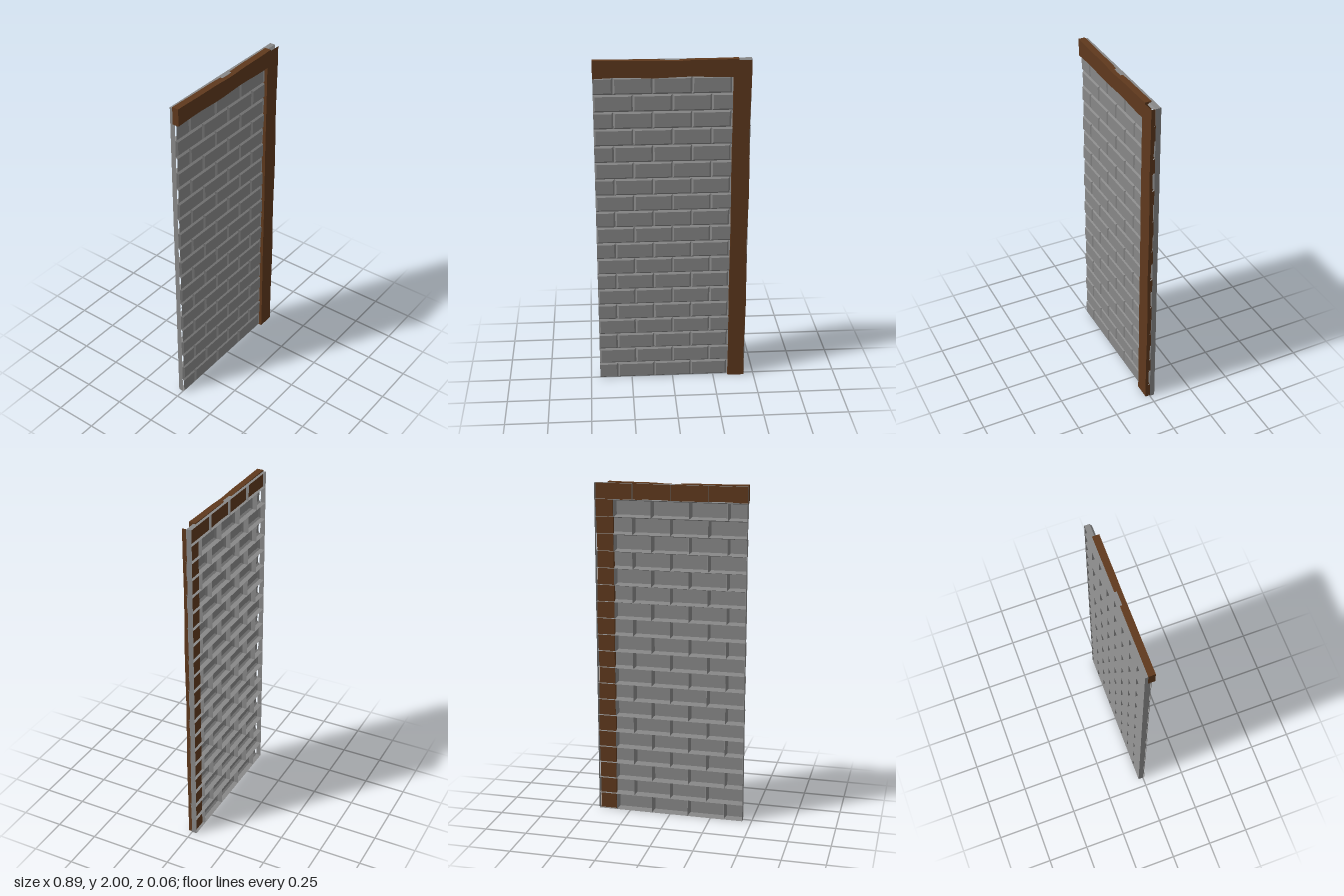
import * as THREE from 'three';

const W = 0.445, TOP = 1.993;            // half width and top of the masonry
const BACK = -0.03, FRONT = 0.01;        // rear edge and brick face
const BEVEL = 0.01, ROWS = 20, ROW_H = 0.1, BRICK = W / 2;
const POST_X = 0.34, BEAM_Y = 1.9;       // inner edges of the timber

// Mesh from a list of four-cornered faces (counter-clockwise from outside)
function quadMesh(name, quads, material) {
  const pos = [];
  for (const [a, b, c, d] of quads) pos.push(...a, ...b, ...c, ...a, ...c, ...d);
  const g = new THREE.BufferGeometry();
  g.setAttribute('position', new THREE.Float32BufferAttribute(pos, 3));
  g.computeVertexNormals();
  const m = new THREE.Mesh(g, material);
  m.name = name;
  return m;
}

// Box between two corners, with vertices moved by a rule and listed sides left out
function timber(name, min, max, segs, warp, material, omit = []) {
  const s = max.map((v, i) => v - min[i]);
  let g = new THREE.BoxGeometry(...s, ...segs);
  g.translate(...max.map((v, i) => (v + min[i]) / 2));
  const p = g.attributes.position, v = new THREE.Vector3();
  for (let i = 0; i < p.count; i++) {
    v.fromBufferAttribute(p, i);
    warp(v);
    p.setXYZ(i, v.x, v.y, v.z);
  }
  const index = Array.from(g.index.array);
  g.setIndex(g.groups.filter((_, i) => !omit.includes(i))
    .flatMap(({ start, count }) => index.slice(start, start + count)));
  g.clearGroups();
  g = g.toNonIndexed();
  g.computeVertexNormals();
  const m = new THREE.Mesh(g, material);
  m.name = name;
  return m;
}

export function createModel() {
  const stone = new THREE.MeshStandardMaterial({ color: 0x888888, side: THREE.DoubleSide });
  stone.name = 'grey stone';
  const wood = new THREE.MeshStandardMaterial({ color: 0x5f391d });
  wood.name = 'brown wood';

  const faces = [], bevels = [], ribs = [];
  // Upright rib between two rows
  const upright = (x, y0, y1) => ribs.push([[x, y0, 0], [x, y0, BACK], [x, y1, BACK], [x, y1, 0]]);
  // Level rib across the whole width
  const level = (y) => ribs.push([[-W, y, 0], [W, y, 0], [W, y, BACK], [-W, y, BACK]]);

  for (let r = 0; r < ROWS; r++) {
    const y0 = r * ROW_H, y1 = r === ROWS - 1 ? TOP : y0 + ROW_H;
    // Alternate rows are shifted by half a brick, their end bricks cut off square
    const whole = r % 2 === 1;
    const cuts = whole ? [-W, -BRICK, 0, BRICK, W]
      : [-W, -1.5 * BRICK, -BRICK / 2, BRICK / 2, 1.5 * BRICK, W];
    const last = cuts.length - 2;

    level(y0);
    upright(-W, y0, y1);

    for (let i = 0; i <= last; i++) {
      const x0 = cuts[i], x1 = cuts[i + 1];
      const slopeL = whole || i > 0, slopeR = whole || i < last;
      const a0 = slopeL ? x0 + BEVEL : x0, a1 = slopeR ? x1 - BEVEL : x1;
      const b0 = y0 + BEVEL, b1 = y1 - BEVEL;

      upright(x1, y0, y1);

      // Sloped brick edges
      bevels.push([[x0, y0, 0], [x1, y0, 0], [a1, b0, FRONT], [a0, b0, FRONT]]);
      bevels.push([[a0, b1, FRONT], [a1, b1, FRONT], [x1, y1, 0], [x0, y1, 0]]);
      if (slopeR) bevels.push([[a1, b0, FRONT], [x1, y0, 0], [x1, y1, 0], [a1, b1, FRONT]]);
      if (slopeL) bevels.push([[x0, y0, 0], [a0, b0, FRONT], [a0, b1, FRONT], [x0, y1, 0]]);

      // Brick face, only where no timber covers it
      const f1 = Math.min(a1, POST_X + 0.002);
      if (r < ROWS - 1 && f1 > a0) {
        faces.push([[a0, b0, FRONT], [f1, b0, FRONT], [f1, b1, FRONT], [a0, b1, FRONT]]);
      }
    }
  }
  level(TOP);

  const wall = new THREE.Group();
  wall.name = 'brickWall';
  wall.add(
    quadMesh('brickFaces', faces, stone),
    quadMesh('brickRibs', ribs, stone),
    quadMesh('brickBevels', bevels, stone),
  );

  // Top beam with a gently uneven upper and lower edge, dipping at the middle
  const beam = timber('topBeam', [-W - 0.001, BEAM_Y, -0.013], [0.37, 2, 0.026], [24, 1, 1], (v) => {
    if (v.y > 1.95) v.y = 1.9985 + 0.0015 * Math.cos(v.x * 14) - 0.008 * Math.exp(-((v.x / 0.1) ** 2));
    else v.y += 0.003 * Math.sin(v.x * 16);
  }, wood);

  // Side post, open at the top, with an uneven outer edge
  const post = timber('sidePost', [POST_X, 0, -0.013], [0.443, 1.992, 0.026], [1, 24, 1], (v) => {
    if (v.x > 0.4) v.x -= 0.003 * (1 + Math.sin(v.y * 9));
    else v.x += 0.001 * Math.sin(v.y * 8);
  }, wood, [2]);

  const model = new THREE.Group();
  model.name = 'timberedWallPanel';
  model.add(wall, beam, post);
  return model;
}
